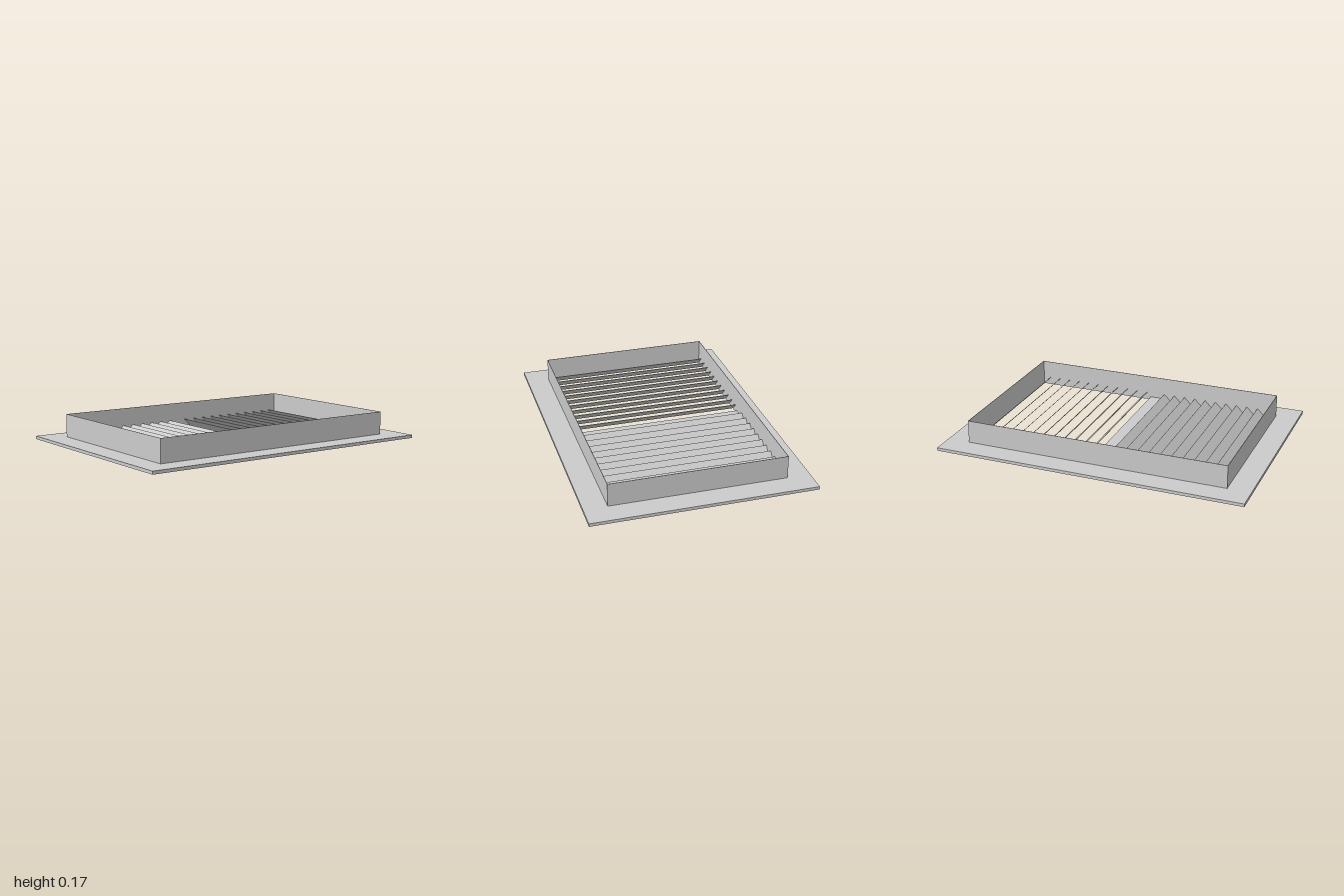
import * as THREE from 'three';

const material = new THREE.MeshStandardMaterial({ color: 0xcccccc, flatShading: true });

// Rectangular ring lying flat, extruded upward from y = 0
function frame(name, halfX, halfZ, holeX, holeZ, height) {
  const corners = (x, z) => [[-x, -z], [x, -z], [x, z], [-x, z]].map(([a, b]) => new THREE.Vector2(a, b));
  const shape = new THREE.Shape(corners(halfX, halfZ));
  shape.holes.push(new THREE.Path(corners(holeX, holeZ).reverse()));
  const geometry = new THREE.ExtrudeGeometry(shape, { depth: height, bevelEnabled: false });
  geometry.rotateX(-Math.PI / 2);
  const mesh = new THREE.Mesh(geometry, material);
  mesh.name = name;
  return mesh;
}

function box(name, w, h, d, x, y) {
  const mesh = new THREE.Mesh(new THREE.BoxGeometry(w, h, d), material);
  mesh.name = name;
  mesh.position.set(x, y, 0);
  return mesh;
}

export function createModel() {
  const model = new THREE.Group();
  model.name = 'ventGrille';
  const openX = 0.85, openZ = 0.553, wall = 0.003;

  // Mounting flange and the thin duct collar standing in its opening
  model.add(frame('flange', 1, 0.702, openX + wall, openZ + wall, 0.02));
  model.add(frame('collar', openX + wall, openZ + wall, openX, openZ, 0.168));

  // Flat bar dividing the two banks of slats
  model.add(box('centreBar', 0.075, 0.02, openZ * 2, 0, 0.01));

  // Two mirrored banks of slats, tops leaning toward the centre
  for (const side of [-1, 1]) {
    const bank = new THREE.Group();
    bank.name = side > 0 ? 'leftSlats' : 'rightSlats';
    for (let i = 0; i < 11; i++) {
      const slat = box('slat', 0.073, 0.003, openZ * 2, side * (0.0865 + 0.0737 * i), 0.027);
      slat.rotation.z = -side * Math.PI / 4;
      bank.add(slat);
    }
    model.add(bank);
  }
  return model;
}
